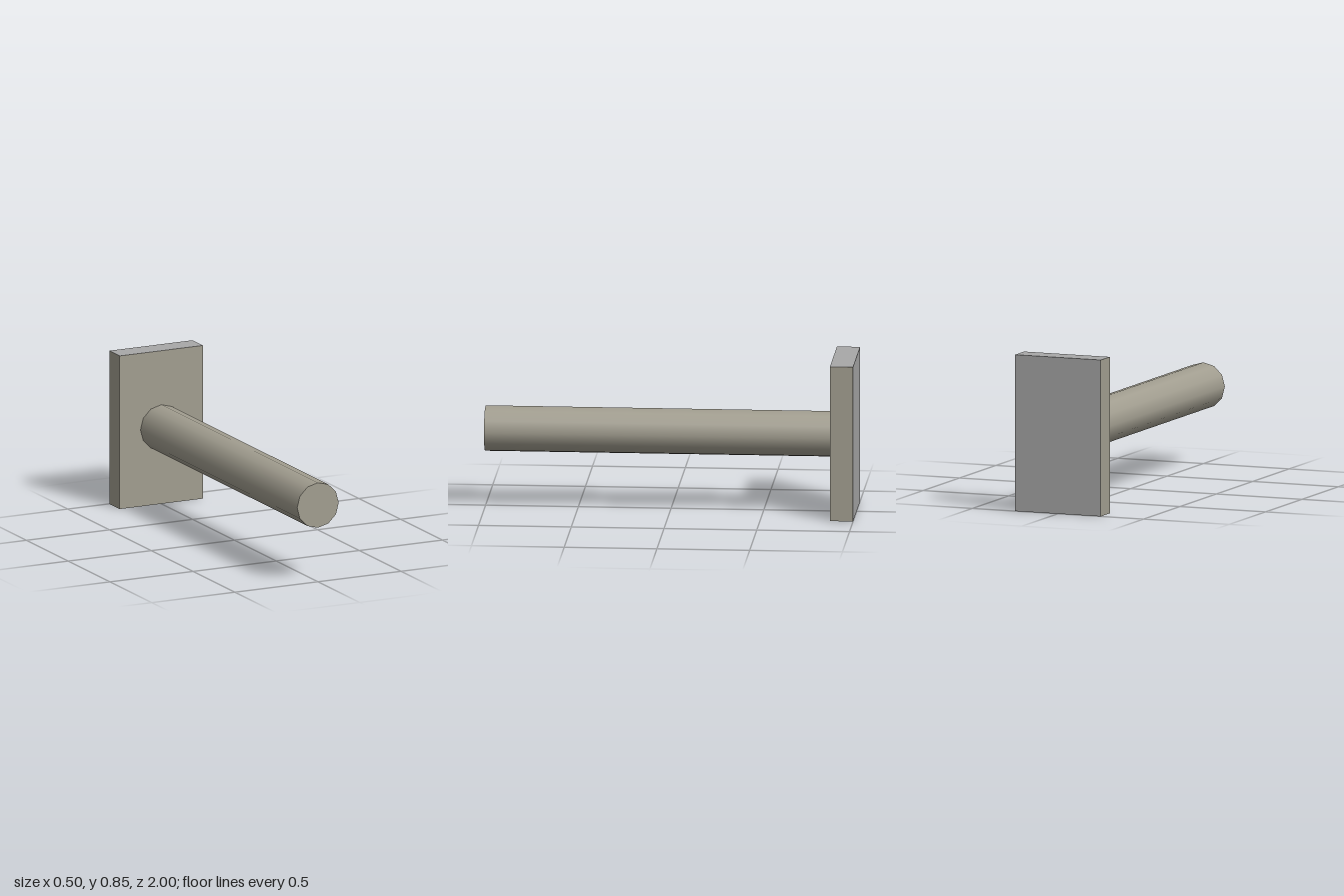
import * as THREE from 'three';

export function createModel() {
  const stone = new THREE.MeshStandardMaterial({ color: 0xa29e90 });
  stone.name = 'warm grey';
  const steel = new THREE.MeshStandardMaterial({ color: 0xa8a8a8 });
  steel.name = 'neutral grey';

  const width = 0.5, height = 0.85, depth = 0.125, radius = 0.125;
  const shaftLength = 2 - depth;
  const group = new THREE.Group();

  // upright plate: neutral grey on its back and top, warm grey elsewhere
  const plate = new THREE.Mesh(
    new THREE.BoxGeometry(width, height, depth),
    [stone, stone, steel, stone, stone, steel]
  );
  plate.name = 'plate';
  plate.position.set(0, height / 2, -1 + depth / 2);
  group.add(plate);

  // twelve-sided smooth shaft running forward from the plate
  const shaft = new THREE.Mesh(
    new THREE.CylinderGeometry(radius, radius, shaftLength, 12).rotateX(Math.PI / 2),
    stone
  );
  shaft.name = 'shaft';
  shaft.position.set(0, height / 2, 1 - shaftLength / 2);
  group.add(shaft);

  return group;
}
